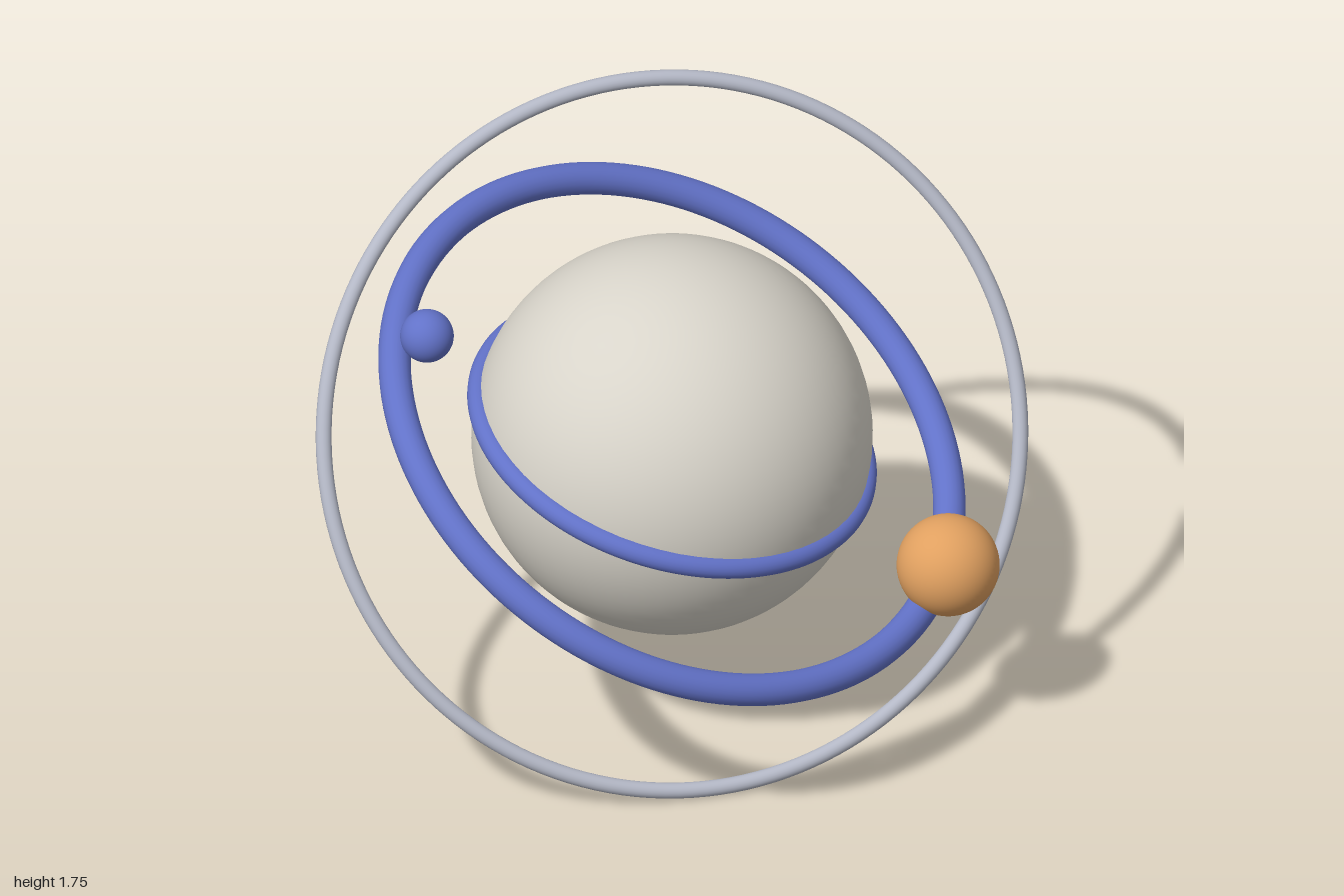
import * as THREE from 'three';

const CENTRE = new THREE.Vector3(0, 0.878, 0);

export function createModel() {
  const model = new THREE.Group();
  model.name = 'ringedPlanet';

  const paint = (color) => new THREE.MeshStandardMaterial({ color });
  const blue = paint(0x6272c8);
  const orange = paint(0xe0a060);
  const stone = paint(0xd8d4ca);
  const silver = paint(0xb4b8c6);

  const add = (name, geometry, material, position) => {
    const mesh = new THREE.Mesh(geometry, material);
    mesh.name = name;
    mesh.position.copy(position);
    model.add(mesh);
    return mesh;
  };

  const ball = (name, radius, material, position) =>
    add(name, new THREE.SphereGeometry(radius, 64, 40), material, position);

  // Ring around the planet's centre, its axis turned to the given direction
  const ring = (name, radius, tube, material, axis) => {
    const mesh = add(name, new THREE.TorusGeometry(radius, tube, 20, 160), material, CENTRE);
    mesh.quaternion.setFromUnitVectors(
      new THREE.Vector3(0, 0, 1),
      new THREE.Vector3(...axis).normalize()
    );
  };

  // Planet and the belt hugging its surface
  ball('planet', 0.553, stone, CENTRE);
  ring('equatorBelt', 0.55, 0.032, blue, [0.235, 0.96, 0.16]);

  // Tilted orbits
  ring('innerOrbit', 0.838, 0.045, blue, [0.363, 0.849, 0.386]);
  ring('outerOrbit', 0.982, 0.022, silver, [0.1, 0.494, 0.863]);

  // Moons
  ball('largeMoon', 0.142, orange, new THREE.Vector3(0.728, 0.57, 0.287));
  ball('smallMoon', 0.074, blue, new THREE.Vector3(-0.726, 1.465, 0.333));

  return model;
}
